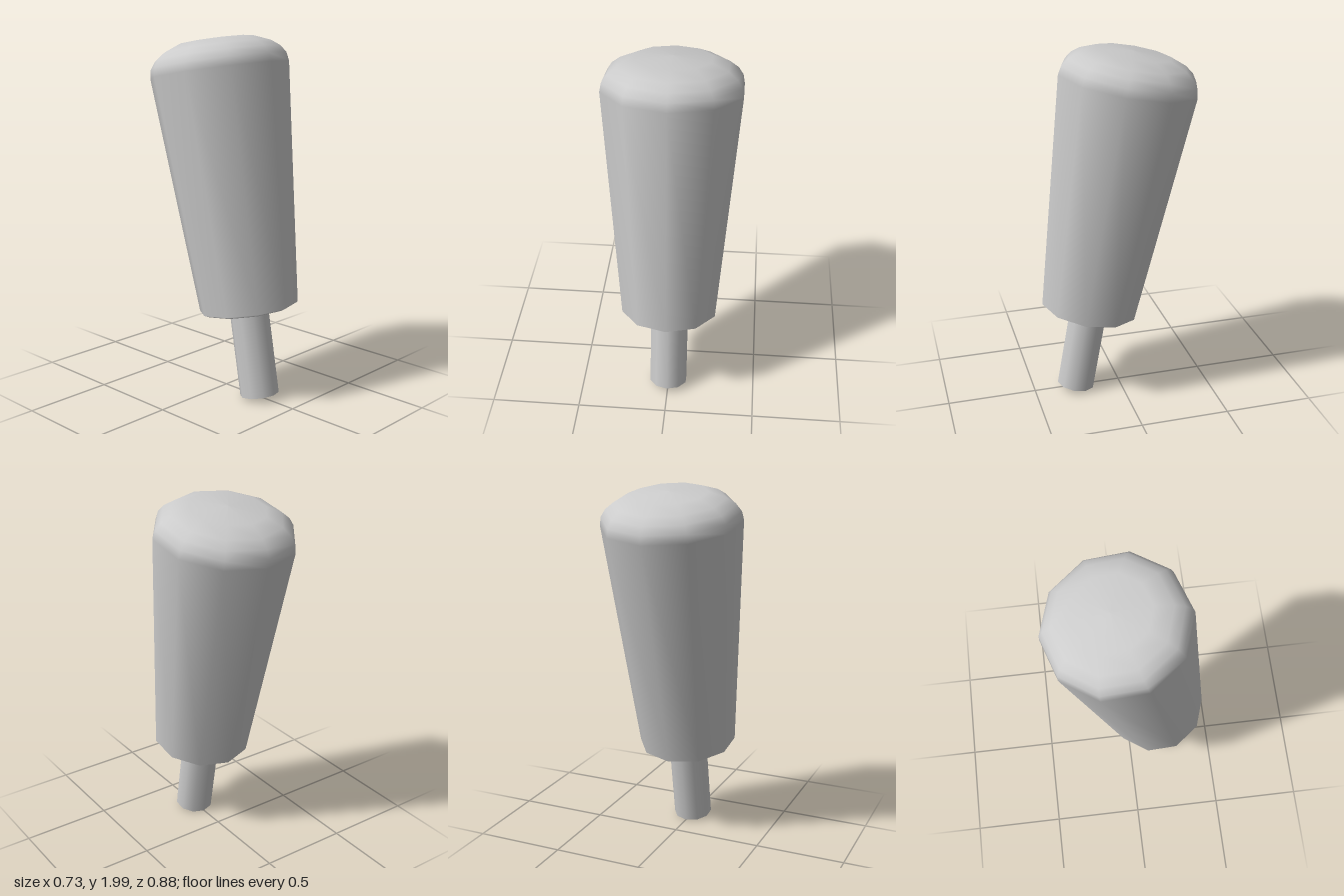
import * as THREE from 'three';

const SIDES = 10;

export function createModel() {
  const group = new THREE.Group();
  const material = new THREE.MeshStandardMaterial({ color: 0xcccccc });
  const openMaterial = new THREE.MeshStandardMaterial({ color: 0xcccccc, side: THREE.DoubleSide });

  // Turn a [radius, height] profile around the handle's axis
  const turned = (name, profile, mat) => {
    const points = profile.map(([r, y]) => new THREE.Vector2(r, y));
    const mesh = new THREE.Mesh(new THREE.LatheGeometry(points, SIDES), mat);
    mesh.name = name;
    return mesh;
  };

  // The whole handle leans backwards about the foot of its rod
  const handle = new THREE.Group();
  handle.name = 'leaningHandle';
  handle.position.set(0, 0.028, 0.257);
  handle.rotation.x = THREE.MathUtils.degToRad(-10);
  group.add(handle);

  // Tapered grip with a rounded crown and a small bevel at its lower rim
  handle.add(turned('grip', [
    [0.246, 0.487], [0.275, 0.5], [0.383, 1.808], [0.374, 1.855],
    [0.347, 1.895], [0.3, 1.93], [0.208, 1.967], [0, 1.978],
  ], material));

  // Flat underside of the grip
  handle.add(turned('gripUnderside', [[0, 0.487], [0.246, 0.487]], material));

  // Thin rod, open at the foot
  handle.add(turned('rod', [[0.109, 0], [0.109, 0.5]], openMaterial));

  return group;
}
